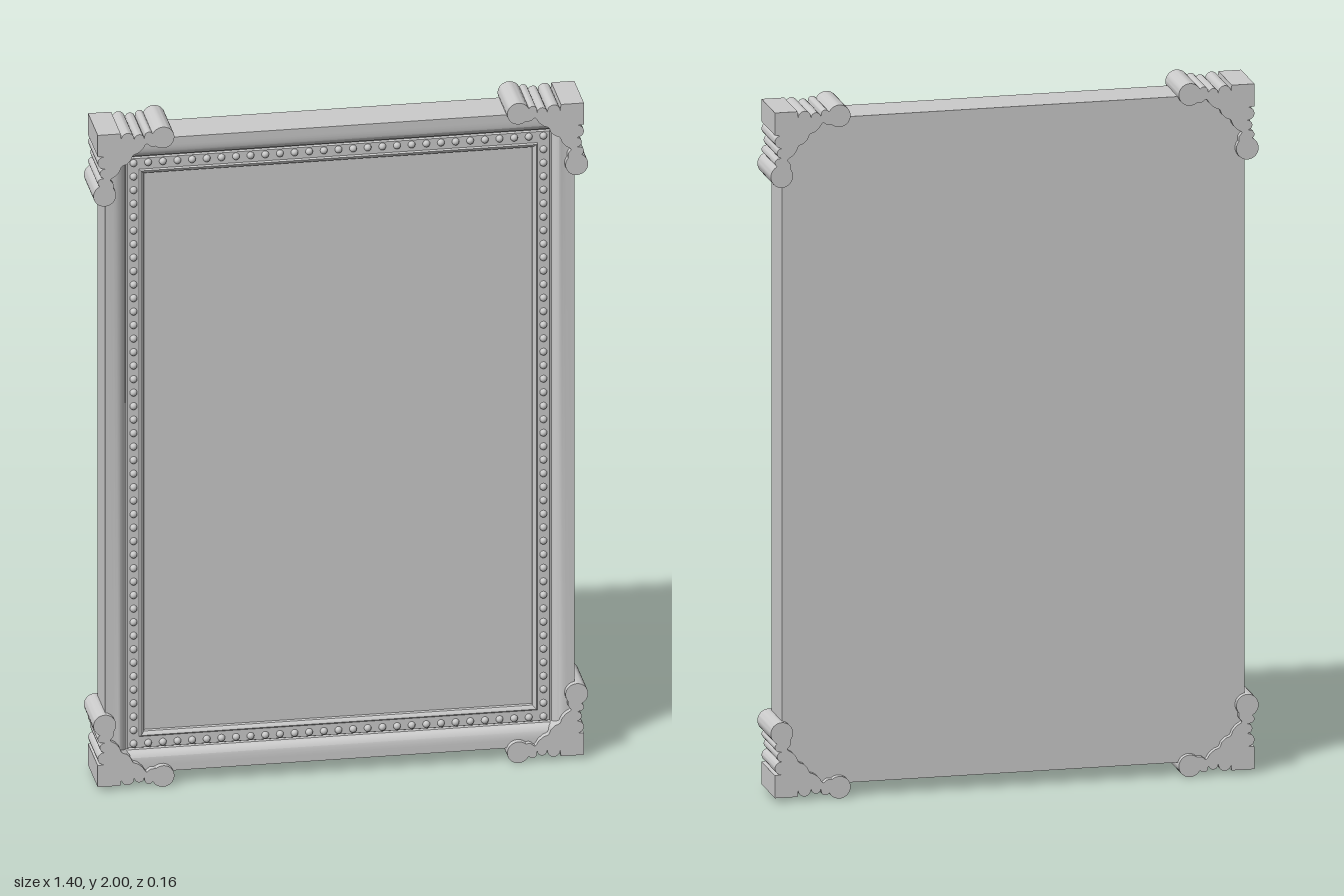
import * as THREE from 'three';
import { mergeGeometries, toCreasedNormals } from 'three/addons/utils/BufferGeometryUtils.js';

const W = 0.664, H = 0.96;       // half size of the frame
const BACK = -0.0625, FRONT = 0.0625;
const material = new THREE.MeshStandardMaterial({ color: 0xcccccc, roughness: 0.8 });

function addMesh(parent, name, geometry) {
  const mesh = new THREE.Mesh(geometry, material);
  mesh.name = name;
  parent.add(mesh);
  return mesh;
}

// Sweep a profile of [inset, z] points round the rectangle with mitred corners
function sweepRectangle(profile) {
  const signs = [[1, 1], [-1, 1], [-1, -1], [1, -1]];
  const at = (s, [inset, z]) => [s[0] * (W - inset), s[1] * (H - inset), z];
  const pos = [];
  for (let c = 0; c < 4; c++) {
    const a = signs[c], b = signs[(c + 1) % 4];
    for (let i = 0; i < profile.length - 1; i++) {
      const p = profile[i], q = profile[i + 1];
      pos.push(...at(a, p), ...at(b, p), ...at(b, q), ...at(a, p), ...at(b, q), ...at(a, q));
    }
  }
  const g = new THREE.BufferGeometry();
  g.setAttribute('position', new THREE.Float32BufferAttribute(pos, 3));
  return toCreasedNormals(g, 0.5);
}

function arc(cx, cy, r, fromDeg, toDeg, n) {
  const pts = [];
  for (let i = 0; i <= n; i++) {
    const t = THREE.MathUtils.degToRad(fromDeg + (toDeg - fromDeg) * i / n);
    pts.push([cx + r * Math.cos(t), cy + r * Math.sin(t)]);
  }
  return pts;
}

// Outline of a scrolled corner, measured inwards from its outer corner
function cornerOutline() {
  const leaf = new THREE.SplineCurve([
    [0.164, 0.0445], [0.15, 0.044], [0.138, 0.036], [0.128, 0.05],
    [0.114, 0.062], [0.1, 0.068], [0.094, 0.082],
  ].map(p => new THREE.Vector2(...p))).getPoints(18).map(p => [p.x, p.y]);
  const half = [
    [0.065, 0],
    ...arc(0.085, 0.018, 0.018, 180, 360, 10),
    ...arc(0.118, 0.02, 0.014, 180, 360, 8),
    ...arc(0.145, 0.012, 0.012, 180, 330, 8),
    ...arc(0.185, 0.02, 0.032, 210, 490, 24),
    ...leaf.slice(1),
  ];
  const mirrored = half.map(([u, v]) => [v, u]).reverse();
  return [[0, 0], ...half, [0.088, 0.088], ...mirrored];
}

function cornerGeometry(sx, sy) {
  const place = ([u, v]) => new THREE.Vector2(sx * (0.688 - u), sy * (0.988 - v));
  const shape = new THREE.Shape(cornerOutline().map(place));
  const g = new THREE.ExtrudeGeometry(shape, { depth: 0.16, bevelEnabled: false });
  g.translate(0, 0, -0.08);
  return toCreasedNormals(g, 0.6);
}

// A row of beads round the rectangle, evenly spaced on each side
function beadGeometry() {
  const x = 0.58, y = 0.88, nx = 28, ny = 43, parts = [];
  const bead = (px, py) => {
    const g = new THREE.SphereGeometry(0.0105, 10, 8);
    parts.push(g.translate(px, py, 0.041));
  };
  for (const s of [-1, 1]) {
    for (let i = 0; i <= nx; i++) bead(-x + 2 * x * i / nx, s * y);
    for (let i = 1; i < ny; i++) bead(s * x, -y + 2 * y * i / ny);
  }
  return mergeGeometries(parts);
}

export function createModel() {
  const model = new THREE.Group();
  model.name = 'pictureFrame';
  const body = new THREE.Group();
  body.name = 'frameBody';
  body.position.y = 1;
  model.add(body);

  // Back rim, sides, rounded rail, bead channel and inner lip
  const rail = [];
  for (let i = 0; i <= 8; i++) {
    const t = i / 8 * Math.PI / 2;
    rail.push([0.022 + 0.038 * Math.sin(t), FRONT - 0.026 * (1 - Math.cos(t))]);
  }
  addMesh(body, 'frameMoulding', sweepRectangle([
    [0.13, BACK], [0, BACK], [0, FRONT], ...rail,
    [0.064, 0.034], [0.067, 0.04], [0.1, 0.04],
    [0.104, 0.044], [0.109, 0.042], [0.114, 0.036], [0.114, 0.02],
  ]));

  // Flat picture panel filling the opening
  const panel = new THREE.BoxGeometry(2 * (W - 0.114), 2 * (H - 0.114), 0.0865);
  panel.translate(0, 0, BACK + 0.0865 / 2);
  addMesh(body, 'picturePanel', panel);

  addMesh(body, 'beading', beadGeometry());

  // Scrolled ornaments, one on each corner
  for (const [sx, side] of [[1, 'Left'], [-1, 'Right']]) {
    for (const [sy, level] of [[1, 'top'], [-1, 'bottom']]) {
      addMesh(body, `${level}${side}CornerOrnament`, cornerGeometry(sx, sy));
    }
  }
  return model;
}
